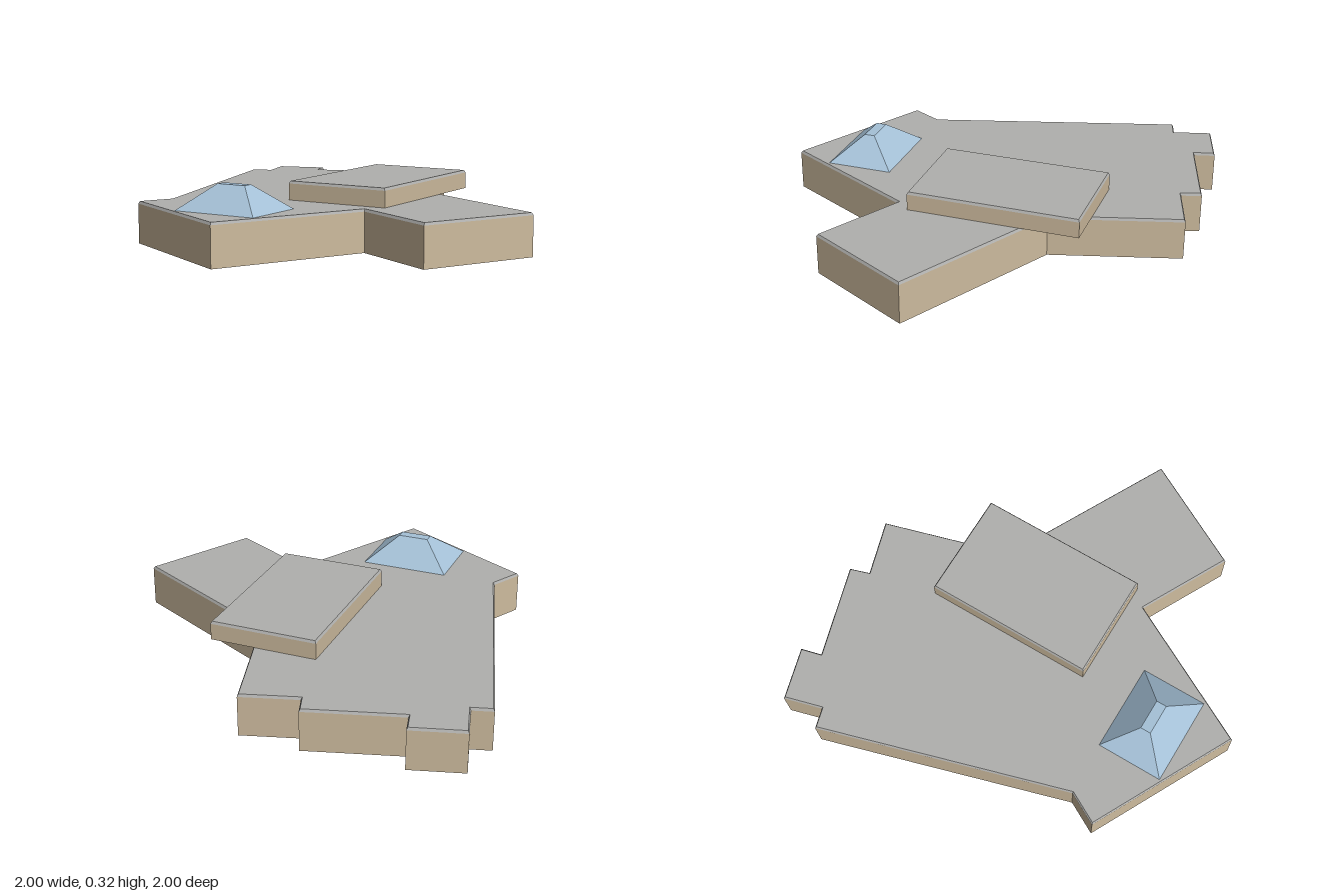
import * as THREE from 'three';

const material = (name, color) => {
  const m = new THREE.MeshStandardMaterial({ color, side: THREE.DoubleSide });
  m.name = name;
  return m;
};

// Flat wall strip between two outlines of [x, z] points, clockwise from above
function band(a, ya, b, yb, closed = true) {
  const pos = [];
  const count = closed ? a.length : a.length - 1;
  for (let i = 0; i < count; i++) {
    const j = (i + 1) % a.length;
    const p = [a[i][0], ya, a[i][1]], q = [a[j][0], ya, a[j][1]];
    const r = [b[j][0], yb, b[j][1]], s = [b[i][0], yb, b[i][1]];
    pos.push(...p, ...r, ...q, ...p, ...s, ...r);
  }
  const g = new THREE.BufferGeometry();
  g.setAttribute('position', new THREE.Float32BufferAttribute(pos, 3));
  g.computeVertexNormals();
  return g;
}

// Horizontal face filling an outline
function cap(outline, y) {
  const shape = new THREE.Shape(outline.map(([x, z]) => new THREE.Vector2(x, -z)));
  return new THREE.ShapeGeometry(shape).rotateX(-Math.PI / 2).translate(0, y, 0);
}

// Outline moved inwards by d with mitred corners
function inset(outline, d) {
  const n = outline.length;
  const inward = (p, q) => {
    const dx = q[0] - p[0], dz = q[1] - p[1], l = Math.hypot(dx, dz);
    return [-dz / l, dx / l];
  };
  return outline.map((p, i) => {
    const u = inward(outline[(i + n - 1) % n], p);
    const v = inward(p, outline[(i + 1) % n]);
    const k = d / (1 + u[0] * v[0] + u[1] * v[1]);
    return [p[0] + (u[0] + v[0]) * k, p[1] + (u[1] + v[1]) * k];
  });
}

const rect = (x0, x1, z0, z1) => [[x0, z0], [x1, z0], [x1, z1], [x0, z1]];

export function createModel() {
  const wall = material('beige wall', 0xcdbb9e);
  const roof = material('grey roof', 0xb0b0ae);
  const glass = material('blue glass', 0xa5c1d7);
  const lining = material('pale lining', 0xcabdae);

  const model = new THREE.Group();
  const add = (parent, name, geometry, mat) => {
    const mesh = new THREE.Mesh(geometry, mat);
    mesh.name = name;
    parent.add(mesh);
  };

  // Hollow block: walls, chamfered roof edge and flat roof, open below
  function block(name, outline, y0, y1, edge) {
    const group = new THREE.Group();
    group.name = name;
    const top = inset(outline, 0.006);
    add(group, 'walls', band(outline, y0, outline, y1 - edge), wall);
    add(group, 'roofEdge', band(outline, y1 - edge, top, y1), roof);
    add(group, 'flatRoof', cap(top, y1), roof);
    model.add(group);
  }

  const footprint = [
    [-0.955, -0.9], [-0.71, -0.97], [-0.685, -0.872], [-0.25, -1], [-0.22, -0.907],
    [0.04, -0.985], [0.214, -0.382], [0.995, 0.028], [0.72, 0.54], [0.303, 0.32],
    [-0.053, 0.995], [-0.73, 0.64], [-0.65, 0.49], [-1, -0.693], [-0.905, -0.72],
  ];
  block('mainBuilding', footprint, 0, 0.2, 0.012);
  block('upperStorey', rect(-0.148, 0.367, -0.575, 0.248), 0.2, 0.29, 0.012);

  // Skylight: truncated glass pyramid over a shaft that reaches the ground
  const skylight = new THREE.Group();
  skylight.name = 'skylight';
  const base = rect(-0.393, 0.03, 0.48, 0.8);
  const peak = rect(-0.255, -0.107, 0.615, 0.665);
  add(skylight, 'slopingGlass', band(base, 0.2, peak, 0.316), glass);
  add(skylight, 'topGlass', cap(peak, 0.316), glass);
  const side = base.slice(1, 3);
  const rest = [base[2], base[3], base[0], base[1]];
  add(skylight, 'shaftGlassSide', band(side, 0, side, 0.2, false), glass);
  add(skylight, 'shaftSides', band(rest, 0, rest, 0.2, false), lining);
  model.add(skylight);

  return model;
}
